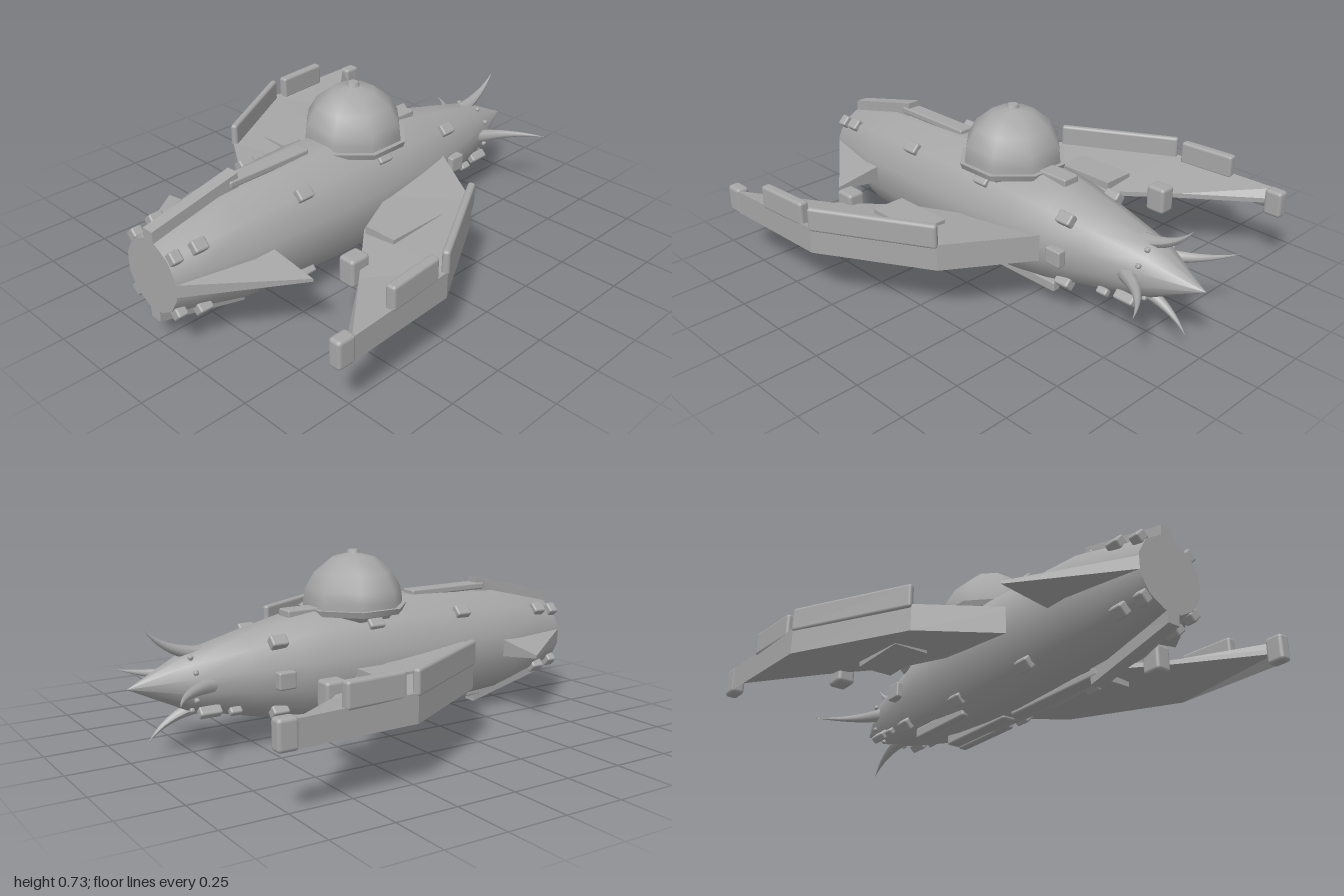
import * as THREE from 'three';
import { RoundedBoxGeometry } from 'three/addons/geometries/RoundedBoxGeometry.js';

const AXIS = 0.29; // height of the hull's centre line

export function createModel() {
  const model = new THREE.Group();
  const grey = new THREE.MeshStandardMaterial({ color: 0xa6a6a6 });
  grey.name = 'hullGrey';

  const add = (name, geo, parent, x = 0, y = 0, z = 0) => {
    const mesh = new THREE.Mesh(geo, grey);
    mesh.name = name;
    mesh.position.set(x, y, z);
    parent.add(mesh);
    return mesh;
  };
  const rbox = (w, h, d, r = 0.01) => new RoundedBoxGeometry(w, h, d, 2, r);

  // Skin a list of four-cornered sections, closing the last one
  const loft = (sections) => {
    const index = [];
    for (let i = 0; i < sections.length - 1; i++) {
      for (let j = 0; j < 4; j++) {
        const a = i * 4 + j, b = i * 4 + (j + 1) % 4;
        index.push(a, b, a + 4, b, b + 4, a + 4);
      }
    }
    const o = (sections.length - 1) * 4;
    index.push(o, o + 1, o + 2, o, o + 2, o + 3);
    const geo = new THREE.BufferGeometry();
    geo.setAttribute('position', new THREE.Float32BufferAttribute(sections.flat(2), 3));
    geo.setIndex(index);
    const flat = geo.toNonIndexed();
    flat.computeVertexNormals();
    return flat;
  };

  // Section from a front point (thickness 2f) to a rear point (thickness 2r)
  const section = (fx, fz, f, rx, rz, r) => [
    [fx, f, fz], [rx, r, rz], [rx, -r, rz], [fx, -f, fz],
  ];

  // Hull: twelve-sided spindle lying along x
  const profile = [
    [0.15, -1], [0.175, -0.9], [0.225, -0.7], [0.242, -0.4], [0.25, -0.2], [0.245, 0],
    [0.23, 0.2], [0.21, 0.35], [0.165, 0.55], [0.11, 0.78], [0.001, 1],
  ].map(([r, y]) => new THREE.Vector2(r, y));
  const hull = new THREE.LatheGeometry(profile, 12);
  hull.rotateY(Math.PI / 12);
  hull.rotateZ(-Math.PI / 2);
  add('hull', hull, model, 0, AXIS, 0);
  const cap = new THREE.CircleGeometry(0.15, 12);
  cap.rotateZ(Math.PI / 12);
  cap.rotateY(-Math.PI / 2);
  add('tailCap', cap, model, -1, AXIS, 0);

  // Dome with its octagonal rim and top knob
  const dome = new THREE.Group();
  dome.name = 'dome';
  dome.position.x = 0.018;
  dome.rotation.y = Math.PI / 8;
  model.add(dome);
  const domeProfile = [
    [0.208, 0.505], [0.206, 0.54], [0.198, 0.585], [0.16, 0.65], [0.09, 0.707], [0.001, 0.73],
  ].map(([r, y]) => new THREE.Vector2(r, y));
  add('domeShell', new THREE.LatheGeometry(domeProfile, 8), dome);
  add('domeRim', new THREE.CylinderGeometry(0.228, 0.22, 0.024, 8), dome, 0, 0.503, 0);
  add('domeCollar', new THREE.CylinderGeometry(0.2, 0.16, 0.05, 8), dome, 0, 0.475, 0);
  add('domeKnob', new THREE.CylinderGeometry(0.022, 0.03, 0.02, 8), dome, 0, 0.728, 0);

  // Swept wings: thick leading edge, thin trailing edge, one turned half round
  for (const turned of [false, true]) {
    const wing = new THREE.Group();
    wing.name = turned ? 'rearWing' : 'frontWing';
    wing.position.set(turned ? -0.04 : 0, AXIS + 0.005, 0);
    wing.rotation.y = turned ? Math.PI : 0;
    model.add(wing);
    add('wingPanel', loft([
      section(0.42, 0.12, 0.053, 0.2, 0.12, 0.02),
      section(0.375, 0.185, 0.055, 0, 0.215, 0.015),
      section(0.15, 0.53, 0.055, -0.25, 0.33, 0.01),
      section(-0.3, 0.79, 0.055, -0.5, 0.55, 0.01),
      section(-0.8, 0.815, 0.05, -0.805, 0.79, 0.01),
    ]), wing);
    // Rails standing on the leading edge
    for (const [x1, z1, x2, z2, w] of [[0.15, 0.525, -0.31, 0.785, 0.03], [-0.35, 0.772, -0.6, 0.79, 0.042]]) {
      const rail = add('wingRail', rbox(Math.hypot(x2 - x1, z2 - z1), 0.1, w, 0.012), wing,
        (x1 + x2) / 2, 0.09, (z1 + z2) / 2);
      rail.rotation.y = -Math.atan2(z2 - z1, x2 - x1);
    }
    add('wingTipBlock', rbox(0.08, 0.115, 0.055, 0.015), wing, -0.82, 0, 0.79);
    add('wingEdgeBlock', rbox(0.09, 0.115, 0.075, 0.015), wing, -0.455, 0, 0.48);
    add('wingInset', new THREE.BoxGeometry(0.27, 0.09, 0.145), wing, -0.135, 0, 0.43);
  }

  // Four tail fins and four curved nose horns, set around the hull
  for (let i = 0; i < 4; i++) {
    const side = i % 2 === 0;
    const arm = new THREE.Group();
    arm.name = 'finAndHorn';
    arm.position.y = AXIS;
    arm.rotation.x = i * Math.PI / 2;
    model.add(arm);
    const tip = side ? 0.43 : 0.283;
    const tail = side ? 0.145 : 0.19;
    const edge = side ? 0.006 : 0.028;
    add('tailFin', loft([
      section(-0.61, 0.1, side ? 0.055 : 0.032, -1, 0.1, 0.032),
      section(-0.61, tip, edge, -1, tail, 0.026),
    ]), arm);

    // Horn: a cone bent along a curve
    const reach = side ? 0.325 : 0.22;
    const curve = new THREE.QuadraticBezierCurve(
      new THREE.Vector2(0.71, 0.1),
      new THREE.Vector2(0.86, side ? 0.17 : 0.125),
      new THREE.Vector2(0.93, reach));
    const horn = new THREE.ConeGeometry(0.032, 1, 8, 8, true);
    const pos = horn.attributes.position;
    for (let k = 0; k < pos.count; k++) {
      const t = THREE.MathUtils.clamp(pos.getY(k) + 0.5, 0, 1);
      const p = curve.getPoint(t), d = curve.getTangent(t), off = pos.getX(k);
      pos.setXYZ(k, p.x + d.y * off, p.y - d.x * off, pos.getZ(k));
    }
    horn.computeVertexNormals();
    horn.rotateX(Math.PI / 2);
    add('noseHorn', horn, arm);
  }

  // Small blocks on the hull's shoulders, placed by angle and radius
  const stud = (x, angle, radius, w, h, d) => {
    const mesh = add('hullBlock', rbox(w, h, d, 0.008), model,
      x, AXIS + Math.sin(angle) * radius, Math.cos(angle) * radius);
    mesh.rotation.x = -angle;
  };
  const q = Math.PI / 4;
  for (const angle of [q, 3 * q, 5 * q, 7 * q]) {
    stud(-0.975, angle, 0.165, 0.045, 0.05, 0.04);
    stud(-0.88, angle, 0.185, 0.06, 0.05, 0.04);
    stud(-0.415, angle, 0.242, 0.07, 0.05, 0.04);
    stud(0.02, angle, 0.236, 0.07, 0.05, 0.04);
    stud(0.445, angle, 0.195, 0.07, 0.05, 0.04);
    stud(0.77, angle + 0.3, 0.115, 0.02, 0.02, 0.02);
    stud(0.77, angle - 0.3, 0.115, 0.02, 0.02, 0.02);
  }
  for (const angle of [0, Math.PI]) stud(0.445, angle, 0.195, 0.075, 0.07, 0.04);
  for (const angle of [5 * q, 7 * q]) {
    stud(0.72, angle, 0.145, 0.09, 0.035, 0.04);
    stud(0.62, angle - 0.0, 0.16, 0.05, 0.03, 0.03);
  }

  // Spine and keel strips
  add('spine', rbox(0.39, 0.03, 0.07, 0.008), model, -0.455, 0.533, 0);
  add('domeStep', rbox(0.14, 0.04, 0.08, 0.008), model, 0.275, 0.502, 0);
  add('rearKeel', rbox(0.5, 0.03, 0.06, 0.008), model, -0.395, 0.05, 0);
  add('frontKeel', rbox(0.39, 0.045, 0.06, 0.008), model, 0.095, 0.062, 0);
  for (const s of [-1, 1]) {
    add('bellyRail', rbox(0.34, 0.045, 0.04, 0.008), model, 0.21, 0.095, s * 0.11);
  }
  return model;
}
